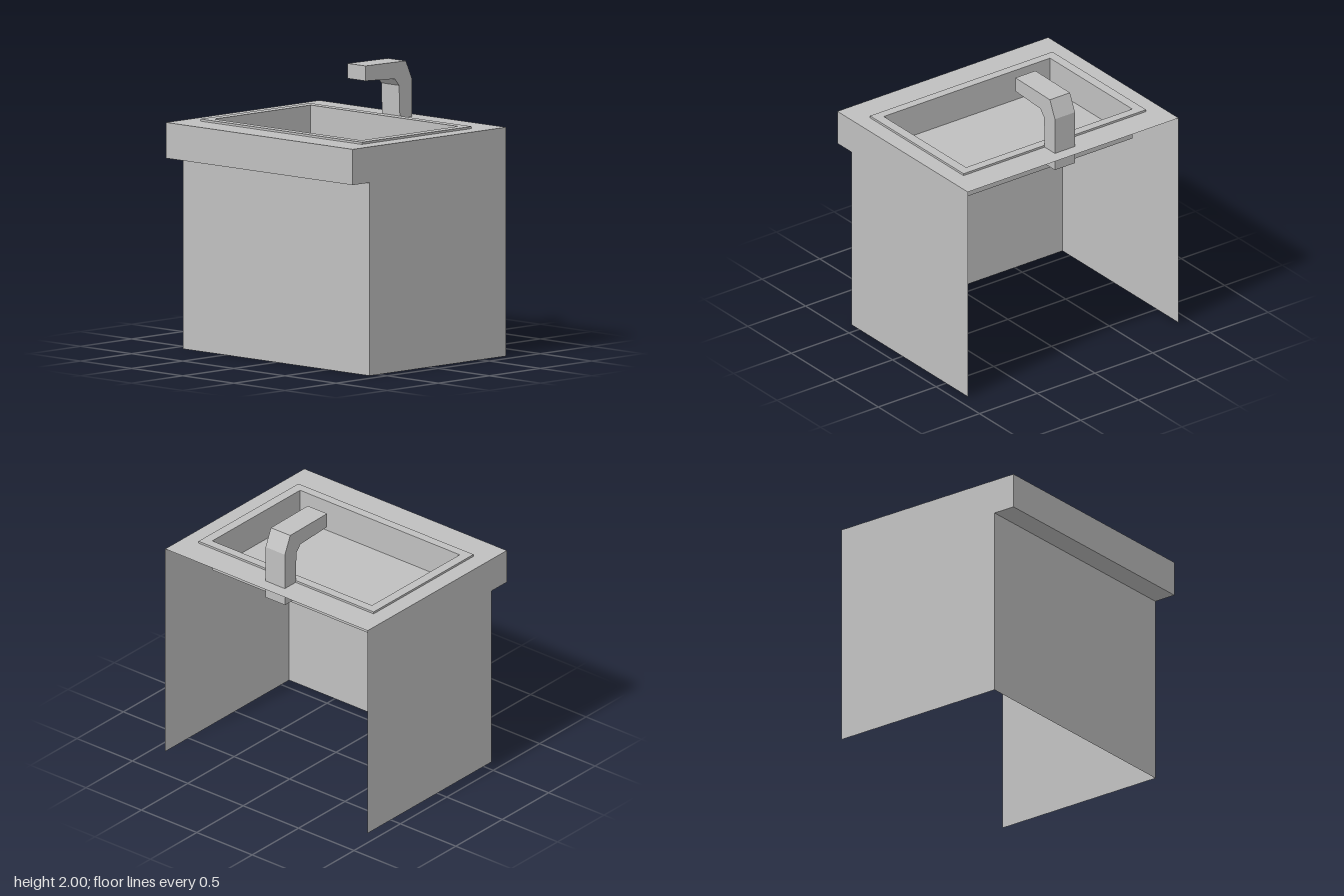
import * as THREE from 'three';

const W = 0.913;          // half width of the cabinet
const D = 0.75;           // half depth of the cabinet
const TOP = 1.6;          // worktop height
const RIM = 1.615;        // raised rim height
const FLOOR = 1.385;      // basin floor height
const OUTER = [0.79, 0.538], INNER = [0.72, 0.473];   // rim half sizes

const path = (pts) => pts.map(([x, y]) => new THREE.Vector2(x, y));
const rect = (a, b) => path([[-a, -b], [a, -b], [a, b], [-a, b]]);

// Side profile given as [z, y] pairs, drawn so that rotateY(90°) puts it in place
const sideShape = (pts) => new THREE.Shape(path(pts.map(([z, y]) => [-z, y])));

export function createModel() {
  const group = new THREE.Group();
  const sheet = new THREE.MeshStandardMaterial({ color: 0xc0c0c0, side: THREE.DoubleSide });
  sheet.name = 'plain grey';

  const add = (name, geometry, parent = group) => {
    const mesh = new THREE.Mesh(geometry, sheet);
    mesh.name = name;
    parent.add(mesh);
    return mesh;
  };

  // Horizontal sheet, optionally with a rectangular opening
  const flat = (name, [a, b], y, hole, parent) => {
    const shape = new THREE.Shape(rect(a, b));
    if (hole) shape.holes.push(new THREE.Path(rect(...hole)));
    add(name, new THREE.ShapeGeometry(shape).rotateX(-Math.PI / 2).translate(0, y, 0), parent);
  };

  // Upright sheet across the width at depth z
  const upright = (name, halfWidth, y0, y1, z, parent) =>
    add(name, new THREE.PlaneGeometry(2 * halfWidth, y1 - y0).translate(0, (y0 + y1) / 2, z), parent);

  // Four upright walls around a rectangle
  const walls = (name, [a, b], y0, y1, parent) => {
    for (const s of [1, -1]) {
      const front = upright(name, a, y0, y1, b, parent);
      front.rotation.y = s > 0 ? 0 : Math.PI;
      const side = upright(name, b, y0, y1, a, parent);
      side.rotation.y = s * Math.PI / 2;
    }
  };

  // Open-backed cabinet with an overhanging apron
  const profile = [[-D, 0], [0.585, 0], [0.585, 1.35], [D, 1.35], [D, TOP], [-D, TOP]];
  for (const s of [1, -1]) {
    add(s > 0 ? 'leftPanel' : 'rightPanel',
      new THREE.ShapeGeometry(sideShape(profile)).rotateY(Math.PI / 2).translate(s * W, 0, 0));
  }
  upright('frontPanel', W, 0, 1.35, 0.585);
  upright('apronFront', W, 1.35, TOP, D);
  add('apronUnderside',
    new THREE.PlaneGeometry(2 * W, D - 0.585).rotateX(Math.PI / 2).translate(0, 1.35, (D + 0.585) / 2));
  flat('worktop', [W, D], TOP, OUTER);

  // Basin with a raised rim
  const basin = new THREE.Group();
  basin.name = 'basin';
  group.add(basin);
  walls('rimEdge', OUTER, TOP, RIM, basin);
  flat('rimTop', OUTER, RIM, INNER, basin);
  walls('basinWall', INNER, FLOOR, RIM, basin);
  flat('basinFloor', INNER, FLOOR, null, basin);

  // Square tap, its foot passing through the worktop
  const tap = sideShape([
    [-0.54, 1.47], [-0.655, 1.47], [-0.655, 1.867], [-0.597, 1.995], [-0.2, 2],
    [-0.2, 1.895], [-0.487, 1.88], [-0.53, 1.83], [-0.538, 1.6],
  ]);
  add('tap', new THREE.ExtrudeGeometry(tap, { depth: 0.174, bevelEnabled: false })
    .translate(0, 0, -0.087).rotateY(Math.PI / 2));

  return group;
}
